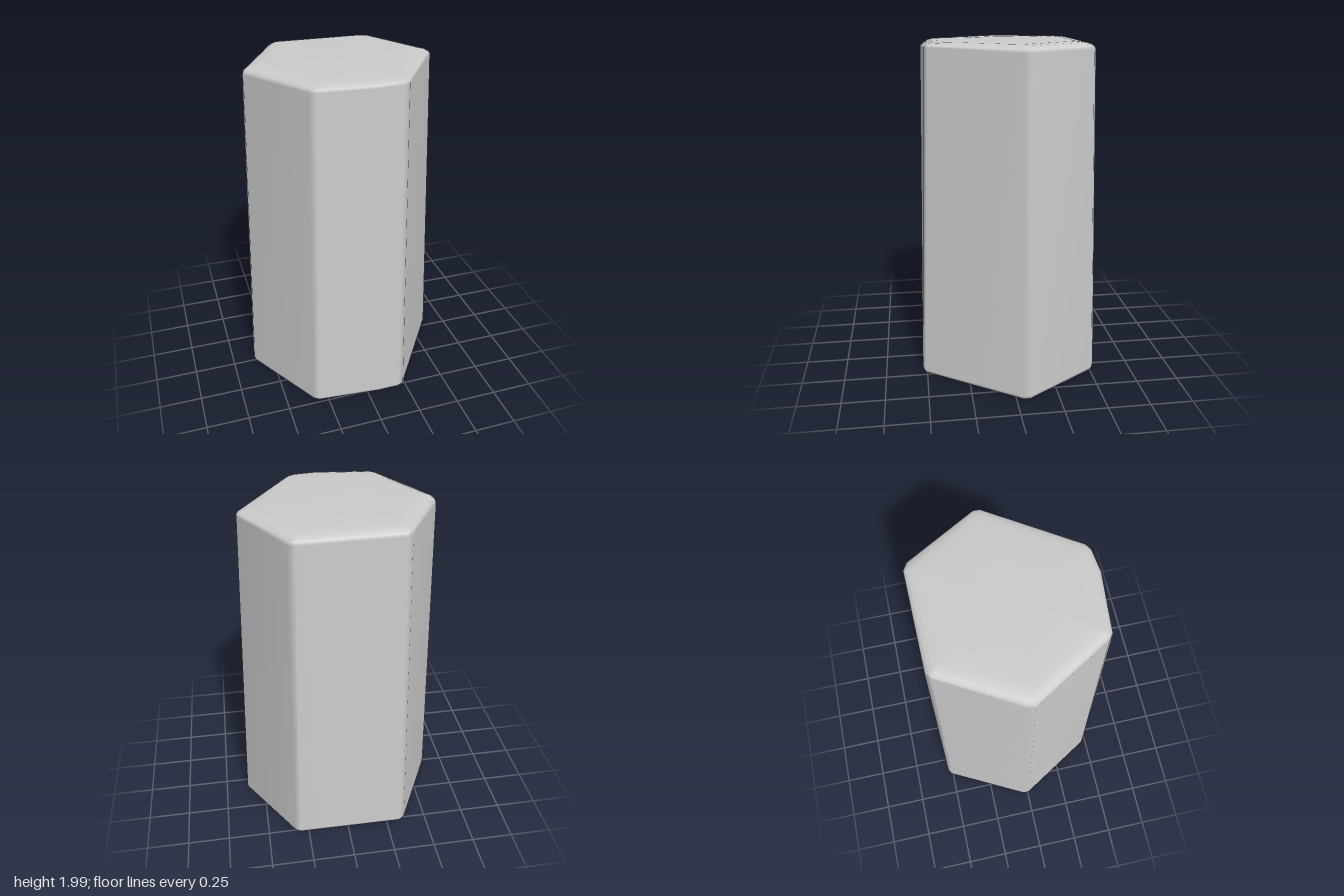
import * as THREE from 'three';

// Corner pairs of the irregular hexagon: [base x, base z, top x, top z, rim height]
const corners = [
  [-0.615, 0.005, -0.555, 0.005, 1.94], [-0.615, -0.03, -0.555, -0.03, 1.94],
  [-0.365, -0.51, -0.32, -0.445, 1.955], [-0.335, -0.53, -0.29, -0.47, 1.955],
  [0.305, -0.525, 0.27, -0.48, 1.95], [0.335, -0.51, 0.31, -0.46, 1.95],
  [0.612, -0.08, 0.535, -0.075, 1.95], [0.612, -0.04, 0.535, -0.04, 1.95],
  [0.235, 0.51, 0.215, 0.44, 1.96], [0.2, 0.525, 0.18, 0.46, 1.96],
  [0.07, 0.525, 0.05, 0.475, 1.96],
  [-0.31, 0.49, -0.28, 0.445, 1.955], [-0.34, 0.47, -0.31, 0.42, 1.955],
];

// Cross-sections from base to cap: base or top outline, scale, height
// (for the top outline, height is the fraction from the rim up to the crown)
const rings = [
  { top: false, scale: 0.5, h: 0 },
  { top: false, scale: 0.965, h: 0 },
  { top: false, scale: 0.988, h: 0.005 },
  { top: false, scale: 1, h: 0.025 },
  { top: true, scale: 1, h: 0 },
  { top: true, scale: 0.985, h: 0.35 },
  { top: true, scale: 0.95, h: 0.6 },
  { top: true, scale: 0.89, h: 0.78 },
  { top: true, scale: 0.78, h: 0.9 },
  { top: true, scale: 0.45, h: 0.98 },
];

function columnGeometry() {
  const n = corners.length;
  const positions = [];
  const index = [];
  for (const { top, scale, h } of rings) {
    for (const [bx, bz, tx, tz, rim] of corners) {
      const x = (top ? tx : bx) * scale;
      const z = (top ? tz : bz) * scale;
      // the crown rises slightly towards the back left
      const crown = 1.993 - 0.007 * x - 0.008 * z;
      positions.push(x, top ? rim + (crown - rim) * h : h, z);
    }
  }
  const baseCentre = positions.length / 3;
  const capCentre = baseCentre + 1;
  positions.push(0, 0, 0, 0, 1.994, 0);

  const last = (rings.length - 1) * n;
  for (let i = 0; i < n; i++) {
    const j = (i + 1) % n;
    for (let r = 0; r < last; r += n) {
      const a = r + i, b = r + j;
      index.push(a, a + n, b, a + n, b + n, b);
    }
    index.push(i, j, baseCentre, last + i, capCentre, last + j);
  }
  const geometry = new THREE.BufferGeometry();
  geometry.setAttribute('position', new THREE.Float32BufferAttribute(positions, 3));
  geometry.setIndex(index);
  geometry.computeVertexNormals();
  return geometry;
}

export function createModel() {
  const group = new THREE.Group();
  group.name = 'hexagonalColumn';
  const column = new THREE.Mesh(columnGeometry(), new THREE.MeshStandardMaterial({ color: 0xcccccc }));
  column.name = 'stoneColumn';
  group.add(column);
  return group;
}
